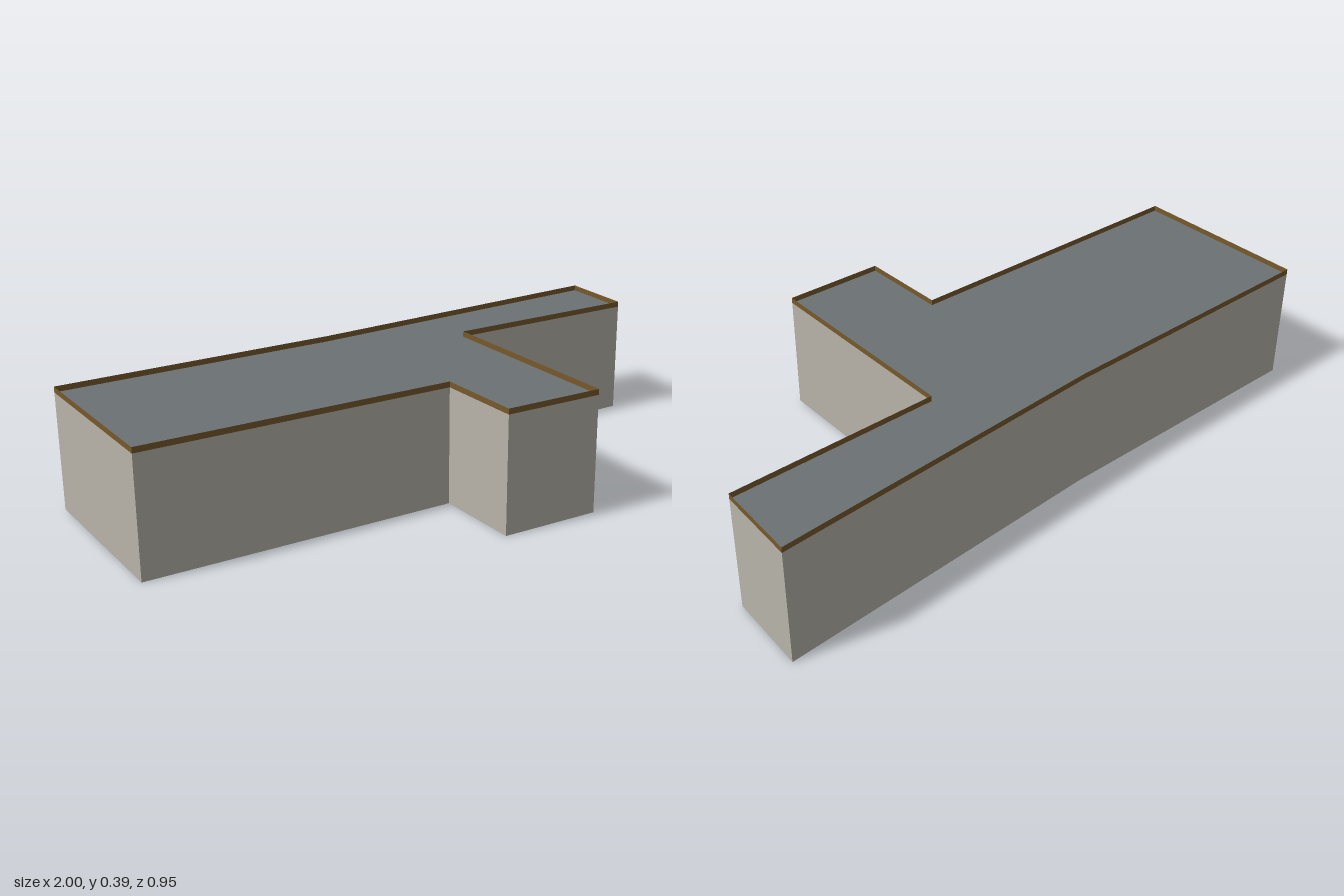
import * as THREE from 'three';

const ROOF_Y = 0.372;
const TOP_Y = 0.39;

// Footprint corners as [x, z], counter-clockwise seen from above
const FOOTPRINT = [
  [-1, 0.168], [-0.01, 0.182], [-0.006, 0.467], [0.313, 0.475], [0.318, -0.218],
  [0.985, -0.218], [1, -0.477], [-0.085, -0.417], [-1, -0.412],
];

// Upright band of thin flat panels following the footprint, open above and below
function band(bottom, top) {
  const positions = [];
  FOOTPRINT.forEach(([ax, az], i) => {
    const [bx, bz] = FOOTPRINT[(i + 1) % FOOTPRINT.length];
    positions.push(
      ax, bottom, az, bx, bottom, bz, bx, top, bz,
      ax, bottom, az, bx, top, bz, ax, top, az,
    );
  });
  const geometry = new THREE.BufferGeometry();
  geometry.setAttribute('position', new THREE.Float32BufferAttribute(positions, 3));
  geometry.computeVertexNormals();
  return geometry;
}

function material(name, color) {
  const result = new THREE.MeshStandardMaterial({ color, side: THREE.DoubleSide });
  result.name = name;
  return result;
}

export function createModel() {
  const group = new THREE.Group();
  group.name = 'building';

  const add = (name, geometry, mat) => {
    const mesh = new THREE.Mesh(geometry, mat);
    mesh.name = name;
    group.add(mesh);
  };

  // Outer walls, with an open underside
  add('walls', band(0, ROOF_Y), material('warm grey wall', 0xb8b4a9));

  // Parapet trim rising above the roof
  add('parapet', band(ROOF_Y, TOP_Y), material('brown trim', 0x76592a));

  // Flat roof set at the foot of the parapet
  const outline = new THREE.Shape(FOOTPRINT.map(([x, z]) => new THREE.Vector2(x, -z)));
  const roof = new THREE.ShapeGeometry(outline).rotateX(-Math.PI / 2).translate(0, ROOF_Y, 0);
  add('roof', roof, material('slate roof', 0x6c7274));

  return group;
}
